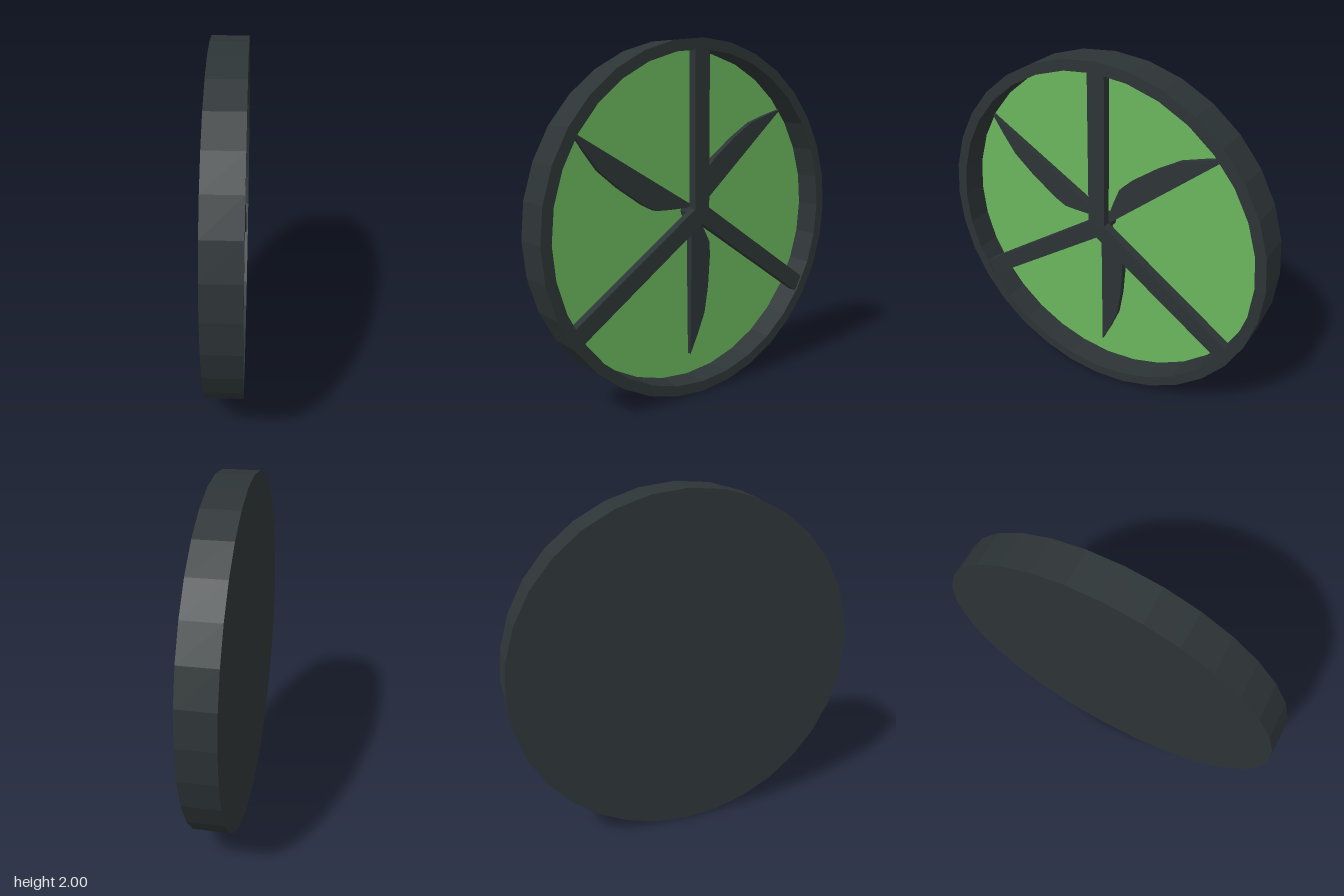
import * as THREE from 'three';

const DEG = Math.PI / 180;

export function createModel() {
  const model = new THREE.Group();
  const charcoal = new THREE.MeshStandardMaterial({ color: 0x2d3436 });
  const green = new THREE.MeshStandardMaterial({ color: 0x6ab65d });
  charcoal.name = 'charcoal';
  green.name = 'green';
  charcoal.flatShading = green.flatShading = true;

  const add = (name, geometry, material = charcoal) => {
    const mesh = new THREE.Mesh(geometry, material);
    mesh.name = name;
    model.add(mesh);
    return mesh;
  };

  // Shallow round tray: back plate, outer wall, rim and inner wall (axis along x)
  const profile = [[0, -0.1], [1, -0.1], [1, 0.1], [0.94, 0.1], [0.94, -0.05]]
    .map(([r, h]) => new THREE.Vector2(r, h));
  add('housing', new THREE.LatheGeometry(profile, 32).rotateZ(-Math.PI / 2).translate(0, 1, 0));

  // Coloured inner floor
  add('innerDisc', new THREE.CircleGeometry(0.94, 32).rotateY(Math.PI / 2).translate(-0.05, 1, 0), green);

  // Hub behind the struts
  add('hub', new THREE.CylinderGeometry(0.045, 0.045, 0.1, 12).rotateZ(Math.PI / 2).translate(0, 1.05, 0));

  // Parts below are drawn facing +z, then turned to face +x.
  // Three guard struts meeting at the hub
  [[90, 0.91], [-34.3, 0.98], [214.3, 0.98]].forEach(([angle, length]) => {
    add('strut', new THREE.BoxGeometry(length, 0.1, 0.05)
      .translate(length / 2, 0, 0.065)
      .rotateZ(angle * DEG)
      .translate(0, 1.05, 0)
      .rotateY(Math.PI / 2));
  });

  // Blade outline: straight edge on v = 0, bulging edge on +v, tip at the origin
  const outline = new THREE.Shape([
    [-0.87, 0], [0, 0], [-0.11, 0.052], [-0.235, 0.103], [-0.39, 0.127],
    [-0.58, 0.139], [-0.66, 0.133], [-0.74, 0.09], [-0.85, 0.025],
  ].map(([u, v]) => new THREE.Vector2(u, v)));

  // Three blades, thinner towards the tip
  [[-90, -0.014, 0.2], [40, 0.69, 1.605], [149.4, -0.76, 1.53]].forEach(([angle, h, y]) => {
    const blade = new THREE.ExtrudeGeometry(outline, { depth: 1, bevelEnabled: false });
    const p = blade.attributes.position;
    for (let i = 0; i < p.count; i++) {
      const thickness = 0.025 - 0.028 * p.getX(i);
      p.setZ(i, (p.getZ(i) - 0.5) * thickness - 0.01);
    }
    blade.rotateZ(angle * DEG).translate(h, y, 0).rotateY(Math.PI / 2);
    blade.computeVertexNormals();
    add('blade', blade);
  });

  return model;
}
